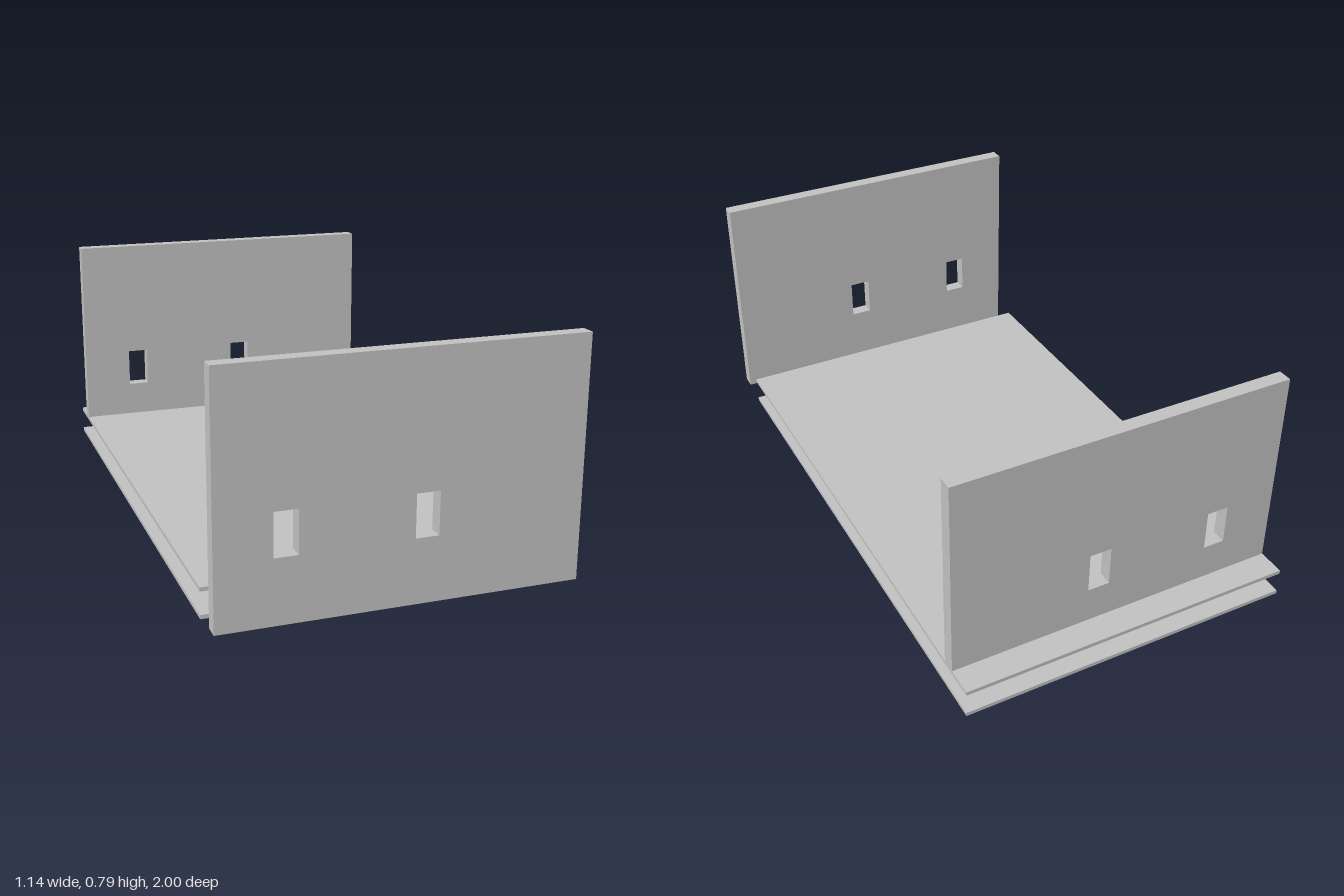
import * as THREE from 'three';

const HALF_W = 0.57, TOP = 0.788;
const PANEL_T = 0.048, PLATE_T = 0.013;
const PLATE_BACK = -1, PLATE_FRONT = 0.856;
const UPPER_TOP = 0.099;
// Slots cut through both upright panels
const SLOT_X = [[-0.396, -0.322], [0.032, 0.106]];
const SLOT_Y = [0.223, 0.36];

function rectangle(path, x0, y0, x1, y1) {
  path.moveTo(x0, y0);
  path.lineTo(x1, y0);
  path.lineTo(x1, y1);
  path.lineTo(x0, y1);
  path.closePath();
  return path;
}

export function createModel() {
  const group = new THREE.Group();
  const grey = new THREE.MeshStandardMaterial({ color: 0xc0c0c0 });
  grey.name = 'light grey';

  // Upright panel with two rectangular slots
  function addPanel(name, bottom, zBack) {
    const shape = rectangle(new THREE.Shape(), -HALF_W, bottom, HALF_W, TOP);
    for (const [x0, x1] of SLOT_X) {
      shape.holes.push(rectangle(new THREE.Path(), x0, SLOT_Y[0], x1, SLOT_Y[1]));
    }
    const geometry = new THREE.ExtrudeGeometry(shape, { depth: PANEL_T, bevelEnabled: false });
    const mesh = new THREE.Mesh(geometry, grey);
    mesh.name = name;
    mesh.position.z = zBack;
    group.add(mesh);
  }

  // Thin horizontal plate
  function addPlate(name, top) {
    const geometry = new THREE.BoxGeometry(HALF_W * 2, PLATE_T, PLATE_FRONT - PLATE_BACK);
    const mesh = new THREE.Mesh(geometry, grey);
    mesh.name = name;
    mesh.position.set(0, top - PLATE_T / 2, (PLATE_FRONT + PLATE_BACK) / 2);
    group.add(mesh);
  }

  addPlate('lowerPlate', PLATE_T);
  addPlate('upperPlate', UPPER_TOP);
  addPanel('frontPanel', 0.017, 1 - PANEL_T);
  addPanel('backPanel', UPPER_TOP, -0.906);

  return group;
}
